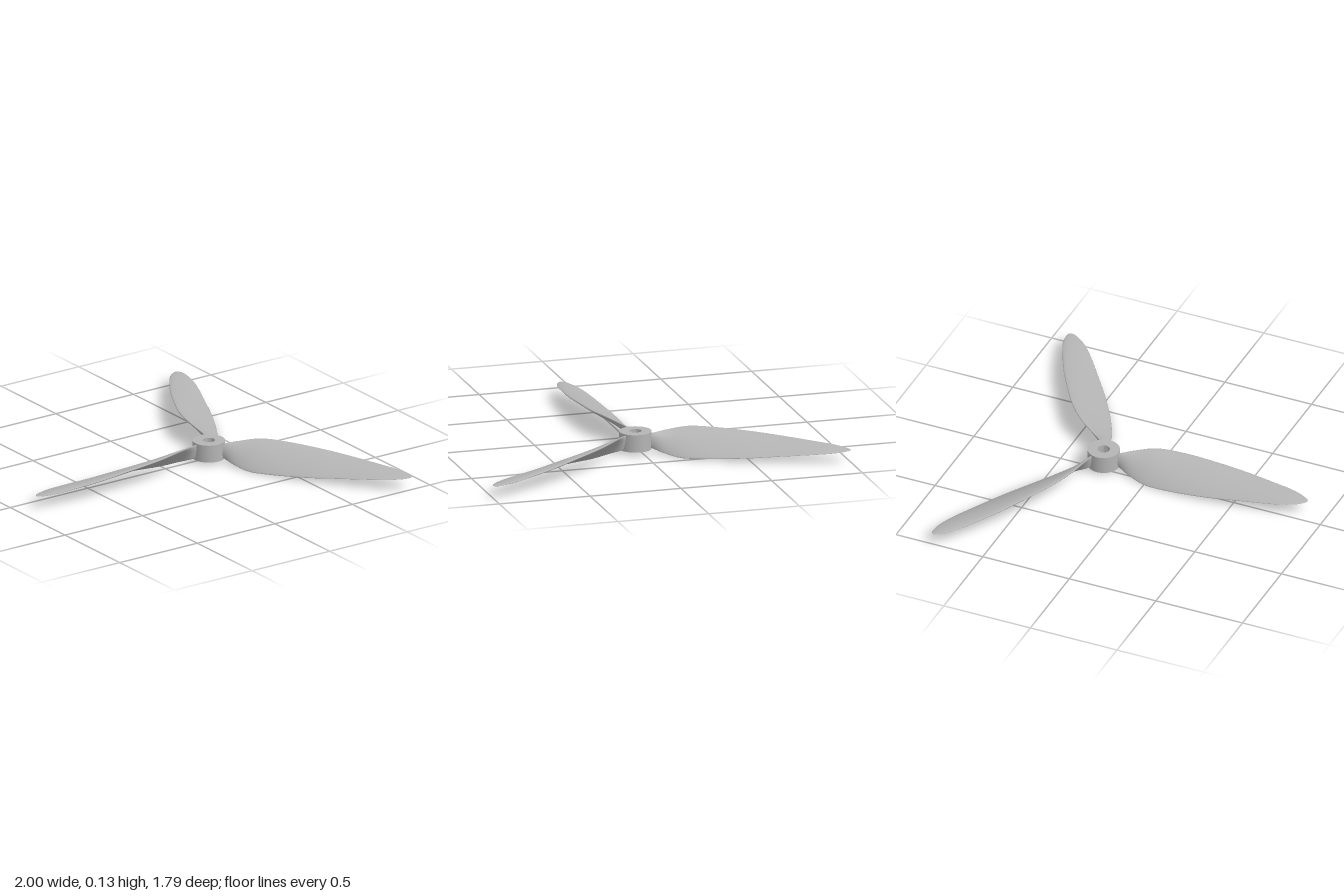
import * as THREE from 'three';
import { toCreasedNormals } from 'three/addons/utils/BufferGeometryUtils.js';

const MID_Y = 0.068;

// Blade stations: distance from the hub axis, trailing edge x, leading edge x, half rise of the chord
const STATIONS = [
  [0.05, -0.002, 0.002, 0.03],
  [0.09, -0.007, 0.009, 0.04],
  [0.155, -0.036, 0.044, 0.052],
  [0.26, -0.069, 0.094, 0.065],
  [0.4, -0.08, 0.123, 0.059],
  [0.61, -0.072, 0.134, 0.045],
  [0.77, -0.053, 0.134, 0.031],
  [0.93, -0.032, 0.123, 0.018],
  [1.037, -0.011, 0.112, 0.01],
  [1.09, 0.008, 0.099, 0.006],
  [1.134, 0.032, 0.08, 0.002],
  [1.147, 0.046, 0.07, 0.001],
  [1.152, 0.059, 0.059, 0],
];

// Twisted aerofoil lofted between a trailing and a leading edge curve
function bladeGeometry() {
  const trailing = new THREE.CatmullRomCurve3(STATIONS.map(([r, a, , h]) => new THREE.Vector3(a, MID_Y - h, r)));
  const leading = new THREE.CatmullRomCurve3(STATIONS.map(([r, , b, h]) => new THREE.Vector3(b, MID_Y + h, r)));
  const rows = 72, half = 14, ring = half * 2;
  const positions = [], index = [];

  for (let i = 0; i <= rows; i++) {
    const t = i / rows;
    const start = trailing.getPoint(t), end = leading.getPoint(t);
    const chord = end.clone().sub(start);
    const up = new THREE.Vector3(-chord.y, chord.x, 0);
    const thick = 0.055 + 0.07 * Math.max(0, 1 - t * 5);
    for (let j = 0; j < ring; j++) {
      const angle = (j / ring) * Math.PI * 2;
      const u = (1 - Math.cos(angle)) / 2;
      // lower side first, then back along the upper side; fuller near the leading edge
      const side = -Math.sin(angle) * thick * (0.65 + 0.6 * u);
      const camber = 0.12 * u * (1 - u);
      const p = start.clone().addScaledVector(chord, u).addScaledVector(up, side + camber);
      positions.push(p.x, Math.max(0, p.y), p.z);
    }
  }
  for (let i = 0; i < rows; i++) {
    for (let j = 0; j < ring; j++) {
      const k = (j + 1) % ring;
      const a = i * ring + j, b = i * ring + k, c = b + ring, d = a + ring;
      index.push(a, b, c, a, c, d);
    }
  }
  const geometry = new THREE.BufferGeometry();
  geometry.setAttribute('position', new THREE.Float32BufferAttribute(positions, 3));
  geometry.setIndex(index);
  geometry.computeVertexNormals();
  return geometry;
}

// Short cylinder with a shaft hole
function hubGeometry() {
  const profile = [[0.033, 0.02], [0.086, 0.02], [0.086, 0.115], [0.033, 0.115], [0.033, 0.02]];
  const lathe = new THREE.LatheGeometry(profile.map(([x, y]) => new THREE.Vector2(x, y)), 48);
  return toCreasedNormals(lathe, 0.6);
}

export function createModel() {
  const grey = new THREE.MeshStandardMaterial({ color: 0xb4b4b4 });
  grey.name = 'grey';

  const propeller = new THREE.Group();
  propeller.name = 'propeller';
  propeller.position.set(0.025, 0, -0.262);

  const hub = new THREE.Mesh(hubGeometry(), grey);
  hub.name = 'hub';
  propeller.add(hub);

  // Three equal blades around the hub
  const blade = bladeGeometry();
  ['frontBlade', 'leftBlade', 'rightBlade'].forEach((name, i) => {
    const mesh = new THREE.Mesh(blade, grey);
    mesh.name = name;
    mesh.rotation.y = (i * Math.PI * 2) / 3;
    propeller.add(mesh);
  });

  const model = new THREE.Group();
  model.name = 'model';
  model.add(propeller);
  return model;
}
